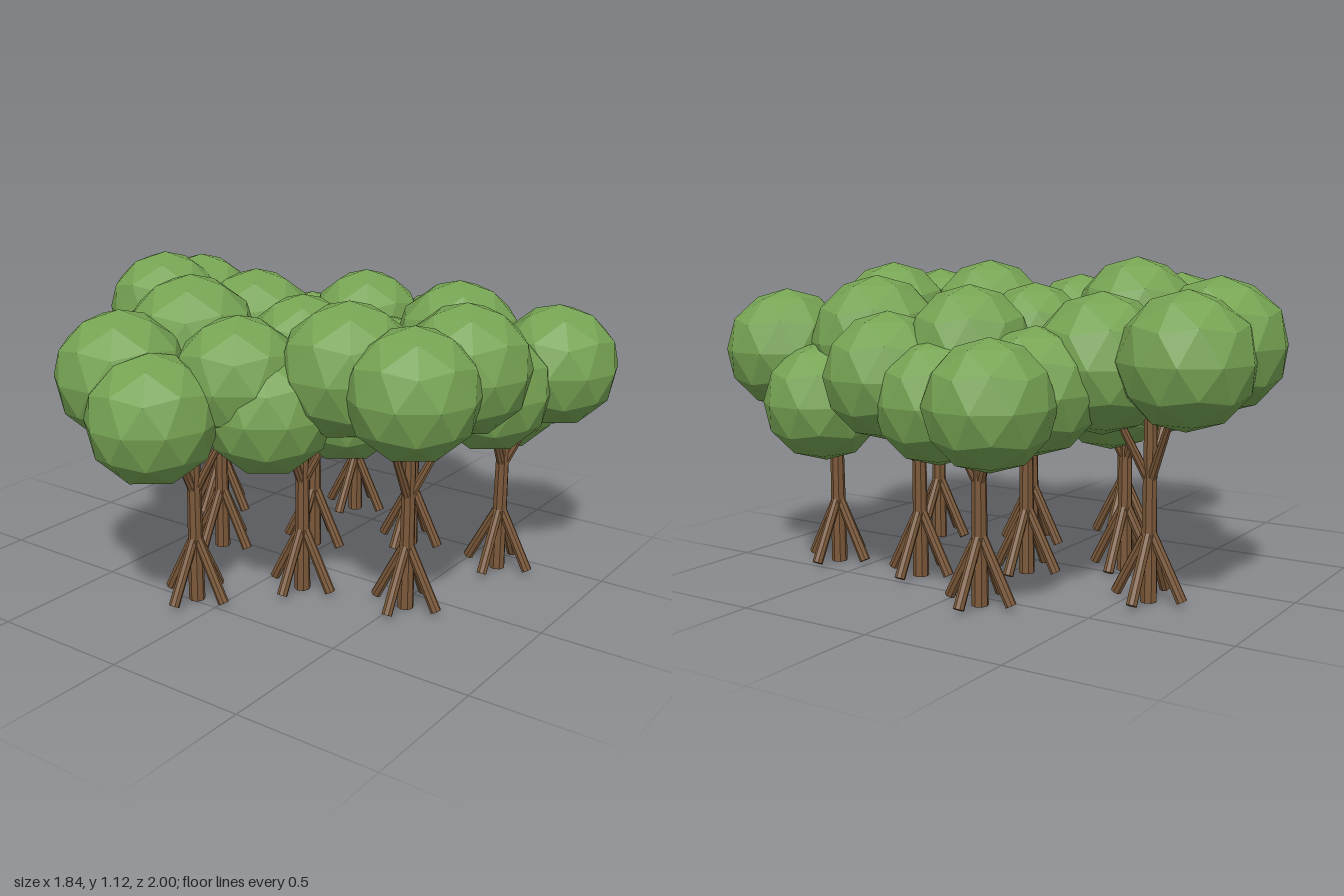
import * as THREE from 'three';

const bark = new THREE.MeshStandardMaterial({ color: 0x7a5839 });
bark.name = 'bark brown';
const leaf = new THREE.MeshStandardMaterial({ color: 0x76a353 });
leaf.name = 'leaf green';

// Low-poly log between two points
function log(name, from, to, r0, r1) {
  const a = new THREE.Vector3(...from), b = new THREE.Vector3(...to);
  const dir = b.clone().sub(a);
  const geo = new THREE.CylinderGeometry(r1, r0, dir.length(), 8).toNonIndexed();
  geo.computeVertexNormals();
  const mesh = new THREE.Mesh(geo, bark);
  mesh.name = name;
  mesh.position.copy(a).add(b).multiplyScalar(0.5);
  mesh.quaternion.setFromUnitVectors(new THREE.Vector3(0, 1, 0), dir.normalize());
  return mesh;
}

// Trunk with four splayed roots and three raised branches
function trunk(x, z) {
  const g = new THREE.Group();
  g.name = 'trunk';
  g.add(log('stem', [0, 0, 0], [0, 0.66, 0], 0.029, 0.022));
  for (let i = 0; i < 4; i++) {
    const a = i * Math.PI / 2;
    g.add(log('root', [Math.cos(a) * 0.122, 0.016, Math.sin(a) * 0.122], [0, 0.25, 0], 0.019, 0.017));
  }
  for (let i = 0; i < 3; i++) {
    const a = Math.PI + i * Math.PI * 2 / 3;
    g.add(log('branch', [0, 0.4, 0], [Math.cos(a) * 0.1, 0.6, Math.sin(a) * 0.1], 0.017, 0.013));
  }
  g.position.set(x, 0, z);
  return g;
}

// Trunk positions: x, z
const trunks = [
  [-0.48, -0.1], [-0.19, 0.15], [-0.1, 0.53], [-0.06, -0.33], [0.16, -0.05],
  [0.24, -0.58], [0.39, 0.63], [0.39, 0.25], [0.57, -0.13],
];

// Leaf clumps: x, y, z, radius
const clumps = [
  [0.15, 0.855, -0.777, 0.222], [0.345, 0.82, -0.755, 0.222], [0.295, 0.79, -0.43, 0.235],
  [0.03, 0.75, -0.54, 0.215], [-0.185, 0.77, -0.48, 0.21], [0.713, 0.69, -0.27, 0.21],
  [0.46, 0.83, -0.02, 0.213], [-0.31, 0.89, -0.24, 0.23], [-0.64, 0.83, -0.265, 0.222],
  [-0.705, 0.73, -0.07, 0.22], [-0.45, 0.83, 0.08, 0.215], [-0.265, 0.87, 0.39, 0.23],
  [-0.003, 0.83, 0.015, 0.2], [0.4, 0.83, 0.42, 0.232], [0.47, 0.79, 0.78, 0.218],
  [-0.035, 0.87, 0.69, 0.222], [-0.29, 0.84, 0.65, 0.22], [0.2, 0.74, 0.66, 0.215],
  [0.55, 0.625, 0.54, 0.21], [0.603, 0.74, 0.21, 0.216], [0.61, 0.67, 0, 0.21],
  [-0.1, 0.72, 0.27, 0.225], [0.18, 0.7, 0.36, 0.222], [-0.405, 0.73, 0.17, 0.22],
  [-0.29, 0.75, -0.3, 0.205], [0.05, 0.67, -0.33, 0.21], [0.26, 0.68, 0.04, 0.21],
  [0.48, 0.71, -0.29, 0.21], [0.18, 0.69, -0.17, 0.2], [-0.17, 0.7, -0.02, 0.21],
  [0.36, 0.7, 0.16, 0.2], [-0.01, 0.72, -0.15, 0.19],
];

// Faceted ball, slightly wide, with a corner pointing straight up
function leafBall() {
  const geo = new THREE.IcosahedronGeometry(1, 1);
  geo.rotateX(-Math.atan((1 + Math.sqrt(5)) / 2));
  geo.rotateY(Math.PI / 2);
  geo.scale(1.03, 1, 1);
  geo.computeVertexNormals();
  return geo;
}

export function createModel() {
  const model = new THREE.Group();
  model.name = 'grove';
  for (const [x, z] of trunks) model.add(trunk(x, z));
  // Leaf canopy
  const ball = leafBall();
  for (const [x, y, z, r] of clumps) {
    const mesh = new THREE.Mesh(ball, leaf);
    mesh.name = 'leafClump';
    mesh.position.set(x, y, z);
    mesh.scale.setScalar(r);
    model.add(mesh);
  }
  return model;
}
